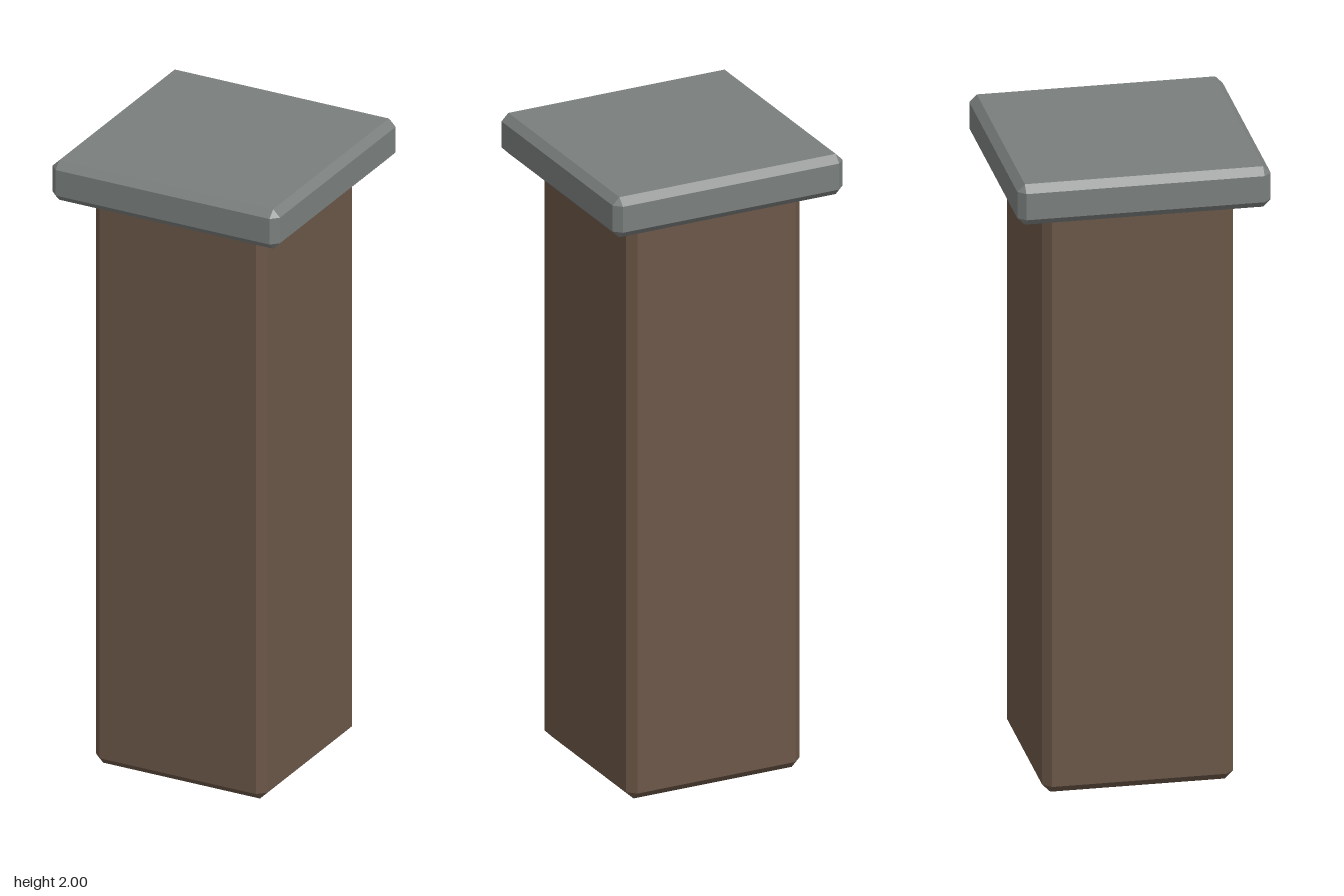
import * as THREE from 'three';
import { ConvexGeometry } from 'three/addons/geometries/ConvexGeometry.js';

// Box with every edge cut at 45 degrees, spanning y0 to y1
function chamferedBox(half, y0, y1, cut) {
  const size = [half, (y1 - y0) / 2, half];
  const points = [];
  for (const sx of [-1, 1]) for (const sy of [-1, 1]) for (const sz of [-1, 1]) {
    for (let axis = 0; axis < 3; axis++) {
      const [x, y, z] = size.map((s, i) => (i === axis ? s : s - cut));
      points.push(new THREE.Vector3(sx * x, sy * y, sz * z));
    }
  }
  return new ConvexGeometry(points).translate(0, (y0 + y1) / 2, 0);
}

export function createModel() {
  const wood = new THREE.MeshStandardMaterial({ color: 0x6b5747 });
  wood.name = 'brown wood';
  const stone = new THREE.MeshStandardMaterial({ color: 0x7a7f7d });
  stone.name = 'grey stone';

  const model = new THREE.Group();
  model.name = 'cappedPost';

  // Square post, its top end tucked inside the cap
  const post = new THREE.Mesh(chamferedBox(0.29, 0, 1.92, 0.025), wood);
  post.name = 'post';

  // Wider slab on top
  const cap = new THREE.Mesh(chamferedBox(0.385, 1.87, 2, 0.023), stone);
  cap.name = 'cap';

  model.add(post, cap);
  return model;
}
